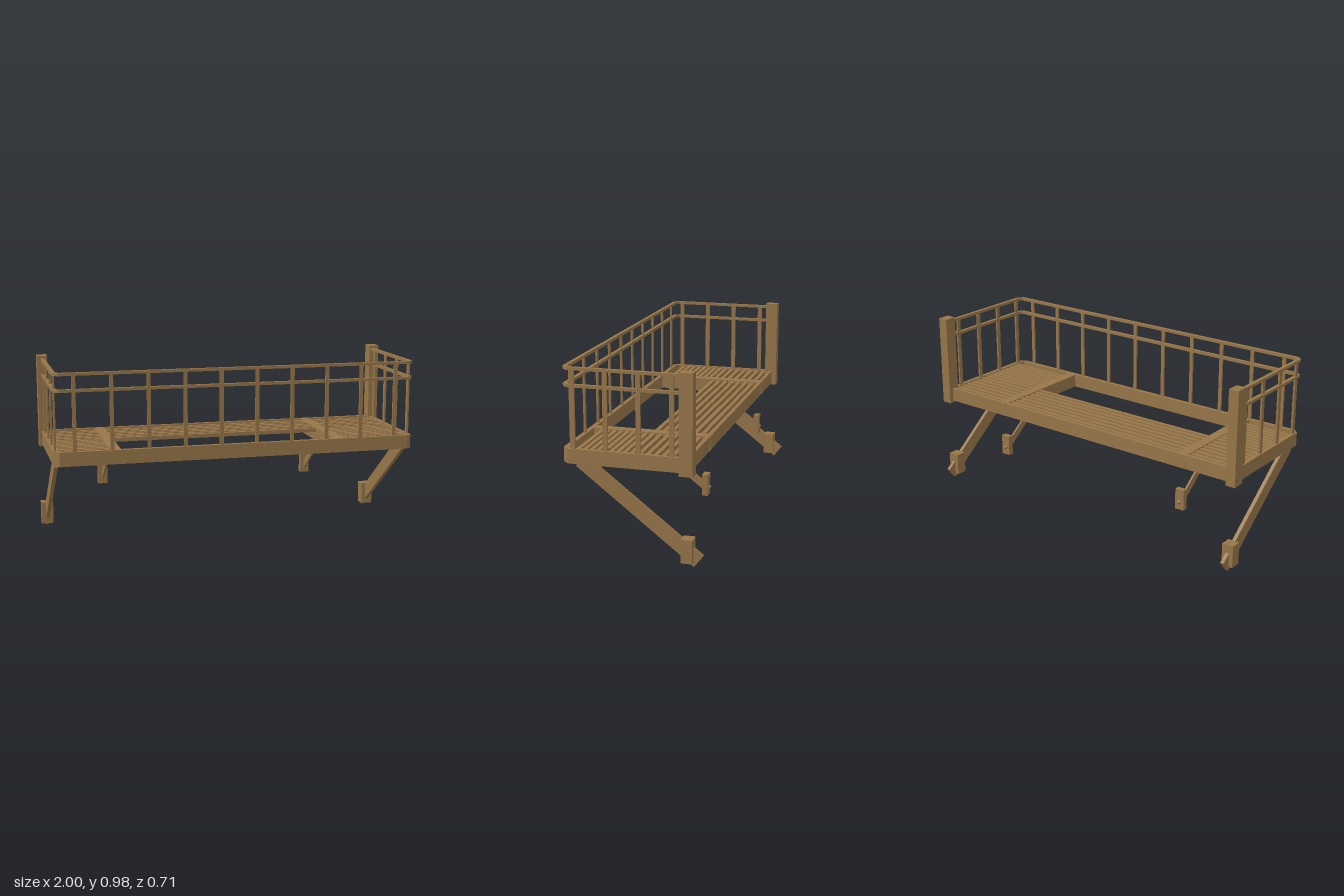
import * as THREE from 'three';

const material = new THREE.MeshStandardMaterial({ color: 0x977649, flatShading: true });
const CX = -0.005;            // centre of the balcony between its two sides
const HALF = 0.98;            // half width of the balcony
const FRONT = 0.357;          // front edge
const BACK = -0.28;           // where the side members end, inside the posts

export function createModel() {
  const model = new THREE.Group();

  const add = (name, geometry) => {
    const mesh = new THREE.Mesh(geometry, material);
    mesh.name = name;
    model.add(mesh);
    return mesh;
  };

  // Box given by its lower and upper limits on each axis
  const box = (name, x0, x1, y0, y1, z0, z1) => {
    const mesh = add(name, new THREE.BoxGeometry(x1 - x0, y1 - y0, z1 - z0));
    mesh.position.set((x0 + x1) / 2, (y0 + y1) / 2, (z0 + z1) / 2);
    return mesh;
  };

  // U-shaped band with chamfered front corners, running round three sides
  const band = (name, y0, y1, width, inset = 0) => {
    const edge = (d) => {
      const h = HALF - d, f = FRONT - d, c = 0.03 - 0.586 * d;
      return [[-h, BACK], [-h, f - c], [-h + c, f], [h - c, f], [h, f - c], [h, BACK]];
    };
    const points = [...edge(inset), ...edge(inset + width).reverse()];
    const shape = new THREE.Shape(points.map(([x, z]) => new THREE.Vector2(x + CX, z)));
    const geometry = new THREE.ExtrudeGeometry(shape, { depth: y1 - y0, bevelEnabled: false });
    geometry.rotateX(Math.PI / 2);
    geometry.translate(0, y1, 0);
    add(name, geometry);
  };

  // Floor frame and the two handrails
  band('floorFrame', 0.483, 0.558, 0.024);
  band('upperRail', 0.951, 0.966, 0.02, 0.003);
  band('lowerRail', 0.866, 0.881, 0.02, 0.003);
  box('backBeam', -0.97, 0.96, 0.483, 0.558, -0.288, -0.267);

  // Cross beams either side of the hatch
  const crossBeams = [[-0.69, -0.635], [0.53, 0.583]];
  for (const [x0, x1] of crossBeams) box('crossBeam', x0, x1, 0.484, 0.557, -0.291, 0.335);

  // Long floor slats behind the hatch
  for (let i = 0; i < 7; i++) {
    const z = -0.235 + i * 0.0408;
    box('longSlat', -0.97, 0.96, 0.532, 0.553, z - 0.011, z + 0.011);
  }
  // Short floor slats beside the hatch
  for (let i = 0; i < 8; i++) {
    const z = 0.046 + i * 0.0338;
    box('leftSlat', 0.56, 0.96, 0.532, 0.553, z - 0.011, z + 0.011);
    box('rightSlat', -0.97, -0.66, 0.532, 0.553, z - 0.011, z + 0.011);
  }

  // Balusters along the front
  for (let i = 0; i < 10; i++) {
    const x = -0.875 + i * 0.1935;
    box('frontBaluster', x - 0.01, x + 0.01, 0.55, 0.958, 0.342, 0.352);
  }

  for (const side of [-1, 1]) {
    // Balusters along each side
    const railX = CX + side * 0.967;
    for (let i = 0; i < 4; i++) {
      const z = 0.301 - i * 0.167;
      box('sideBaluster', railX - 0.005, railX + 0.005, 0.55, 0.958, z - 0.012, z + 0.012);
    }
    // Wall post
    const postX = side * 0.9725;
    box('wallPost', postX - 0.0275, postX + 0.0275, 0.473, 0.98, -0.314, -0.245);
  }

  // Slanting support: a flat bar rising forward from its lower end at (y, z)
  const brace = (name, x, y, z, length, height, thickness) => {
    const angle = 0.658;
    const mesh = add(name, new THREE.BoxGeometry(thickness, height, length));
    mesh.rotation.x = -angle;
    mesh.position.set(x, y + Math.sin(angle) * length / 2, z + Math.cos(angle) * length / 2);
  };

  // Outer supports with their wall blocks
  for (const x of [-0.968, 0.949]) {
    brace('outerBrace', x, 0.034, -0.333, 0.76, 0.075, 0.02);
    box('outerWallBlock', x - 0.032, x + 0.032, 0.025, 0.147, -0.307, -0.247);
  }
  // Inner supports with their wall blocks
  for (const x of [-0.65, 0.553]) {
    brace('innerBrace', x, 0.268, -0.277, 0.38, 0.039, 0.01);
    box('innerWallBlock', x - 0.026, x + 0.026, 0.24, 0.352, -0.277, -0.247);
  }

  return model;
}
